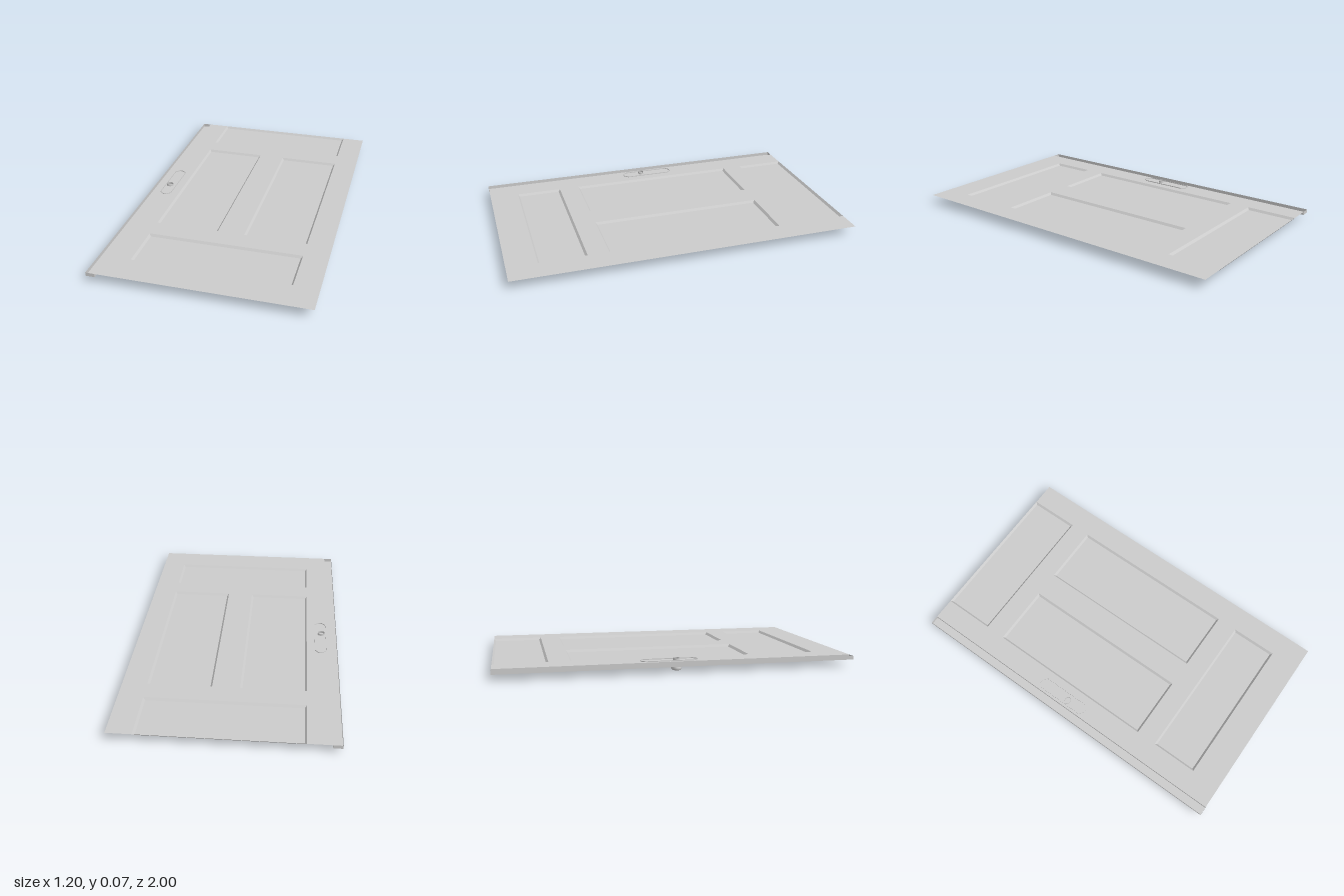
import * as THREE from 'three';

const SHEET_Y = 0.055;

const material = new THREE.MeshStandardMaterial({ color: 0xcccccc, side: THREE.DoubleSide });

function addMesh(group, name, geometry) {
  const mesh = new THREE.Mesh(geometry, material);
  mesh.name = name;
  group.add(mesh);
  return mesh;
}

const rect = (x0, x1, z0, z1) => [[x0, z0], [x1, z0], [x1, z1], [x0, z1]];

// Open-topped tray: walls from the rim down to a flat convex floor
function tray(rim, floor, yTop, yBottom) {
  const pos = [];
  const tri = (...pts) => pts.forEach((p) => pos.push(...p));
  const n = rim.length;
  const top = rim.map(([x, z]) => [x, yTop, z]);
  const low = floor.map(([x, z]) => [x, yBottom, z]);
  for (let i = 0; i < n; i++) {
    const j = (i + 1) % n;
    tri(top[i], top[j], low[j]);
    tri(top[i], low[j], low[i]);
    if (i > 0 && i < n - 1) tri(low[0], low[i], low[i + 1]);
  }
  const geometry = new THREE.BufferGeometry();
  geometry.setAttribute('position', new THREE.Float32BufferAttribute(pos, 3));
  geometry.computeVertexNormals();
  return geometry;
}

export function createModel() {
  const door = new THREE.Group();
  door.name = 'door';

  // Panels: x0, x1, z0, z1 of each rim
  const panels = {
    topPanel: [-0.42, 0.46, -1, -0.7],
    middleRightPanel: [-0.42, -0.055, -0.58, 0.44],
    middleLeftPanel: [0.1, 0.46, -0.58, 0.44],
    bottomPanel: [-0.42, 0.46, 0.56, 0.83],
  };
  const bevel = 0.011;
  for (const [name, [x0, x1, z0, z1]] of Object.entries(panels)) {
    const floor = rect(x0 + bevel, x1 - bevel, z0 + bevel, z1 - bevel);
    addMesh(door, name, tray(rect(x0, x1, z0, z1), floor, SHEET_Y, 0.042));
  }

  // Thin face sheet, notched for the top panel and pierced for the others
  const toVectors = (pts) => pts.map(([x, z]) => new THREE.Vector2(x, z));
  const outline = new THREE.Shape(toVectors([
    [-0.55, -1], [-0.42, -1], [-0.42, -0.7], [0.46, -0.7],
    [0.46, -1], [0.6, -1], [0.6, 1], [-0.55, 1],
  ]));
  for (const name of ['middleRightPanel', 'middleLeftPanel', 'bottomPanel']) {
    outline.holes.push(new THREE.Path(toVectors(rect(...panels[name]))));
  }
  const sheet = new THREE.ShapeGeometry(outline);
  sheet.rotateX(Math.PI / 2);
  sheet.translate(0, SHEET_Y, 0);
  addMesh(door, 'faceSheet', sheet);

  // Raised strip along the closing edge
  const strip = rect(-0.6, -0.55, -1, 1);
  addMesh(door, 'edgeStrip', tray(strip, strip, SHEET_Y, 0.035));

  // Lock plate with cut corners
  const [px0, px1, pz0, pz1, c] = [-0.535, -0.468, -0.21, 0.11, 0.022];
  const plate = [
    [px0 + c, pz0], [px1 - c, pz0], [px1, pz0 + c], [px1, pz1 - c],
    [px1 - c, pz1], [px0 + c, pz1], [px0, pz1 - c], [px0, pz0 + c],
  ];
  addMesh(door, 'lockPlate', tray(plate, plate, 0.06, 0.043));

  // Knob, slightly oval, with its open shank passing through the plate
  const profile = [
    [0, 0], [0.02, 0.001], [0.03, 0.003], [0.035, 0.009], [0.034, 0.017],
    [0.031, 0.028], [0.027, 0.041], [0.021, 0.045], [0.021, 0.068],
  ].map(([r, y]) => new THREE.Vector2(r, y));
  const knob = addMesh(door, 'knob', new THREE.LatheGeometry(profile, 20));
  knob.scale.z = 0.8;
  knob.position.set(-0.508, 0, -0.01);

  return door;
}
